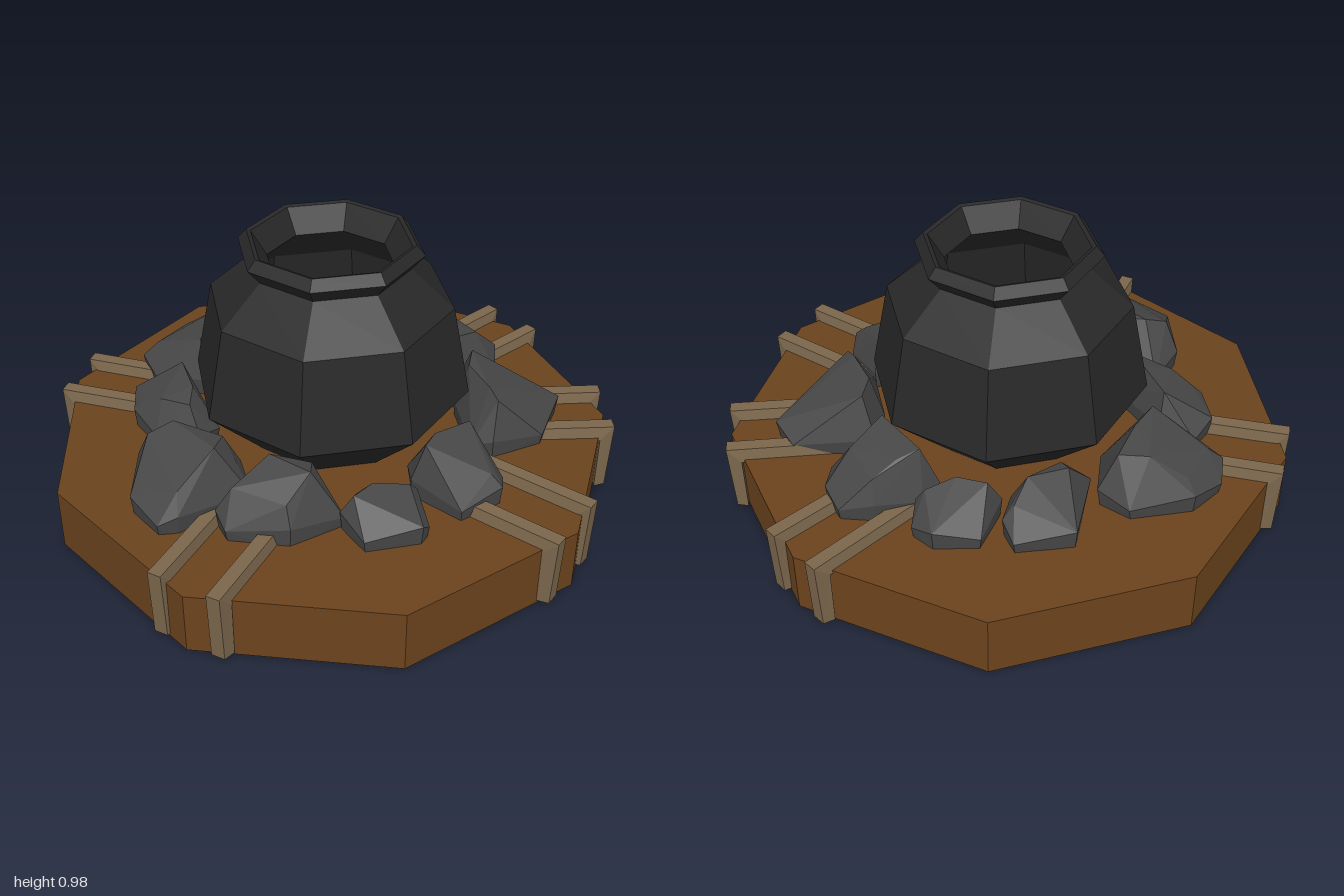
import * as THREE from 'three';
import { ConvexGeometry } from 'three/addons/geometries/ConvexGeometry.js';

const mat = (color, side = THREE.FrontSide) =>
  new THREE.MeshStandardMaterial({ color, flatShading: true, side });
const WOOD = mat(0x6b431d);
const BATTEN = mat(0x7a664c);
const STONE = mat(0x474747);
const IRON = mat(0x282828, THREE.DoubleSide);
const DECK = 0.225;

function add(parent, name, geometry, material) {
  const mesh = new THREE.Mesh(geometry, material);
  mesh.name = name;
  parent.add(mesh);
  return mesh;
}

// Bent batten: lies on the deck, then folds down over the rim; narrower on its outer face
function battenGeometry(length) {
  const t = 0.05, wIn = 0.036, wOut = 0.024, top = 0.265;
  const path = [ // [inner x, inner y, outer x, outer y]
    [0, top - t, 0, top],
    [length - t, top - t, length, top],
    [length - t, 0.01, length - 0.01, 0.01],
  ];
  const pos = [], index = [];
  for (const [ix, iy, ox, oy] of path)
    pos.push(ix, iy, -wIn, ox, oy, -wOut, ox, oy, wOut, ix, iy, wIn);
  for (let k = 0; k < path.length - 1; k++)
    for (let j = 0; j < 4; j++) {
      const a = k * 4 + j, b = k * 4 + (j + 1) % 4;
      index.push(a, b, b + 4, a, b + 4, a + 4);
    }
  index.push(0, 2, 1, 0, 3, 2, 8, 9, 10, 8, 10, 11);
  const g = new THREE.BufferGeometry();
  g.setAttribute('position', new THREE.Float32BufferAttribute(pos, 3));
  g.setIndex(index);
  const flat = g.toNonIndexed();
  flat.computeVertexNormals();
  return flat;
}

// Stone: hull of a plan outline [x, z, ...] whose top slopes down away from the pot
function stoneGeometry(height, outline) {
  const pts = [], plan = [];
  for (let i = 0; i < outline.length; i += 2) plan.push(new THREE.Vector2(outline[i], outline[i + 1]));
  const c = plan.reduce((s, p) => s.add(p), new THREE.Vector2()).divideScalar(plan.length);
  const out = c.clone().normalize();
  plan.forEach((p, i) => {
    const d = p.clone().sub(c).dot(out);
    const foot = p.clone().lerp(c, 0.06);
    const crest = p.clone().lerp(c, i % 2 ? 0.5 : 0.28);
    const y = height - Math.max(0, d + 0.04) * 0.5 - (i % 3 === 1 ? 0.02 : 0);
    pts.push(new THREE.Vector3(foot.x, DECK - 0.02, foot.y));
    pts.push(new THREE.Vector3(p.x, DECK + (i % 2 ? 0.04 : 0.07), p.y));
    pts.push(new THREE.Vector3(crest.x, y, crest.y));
  });
  return new ConvexGeometry(pts);
}

export function createModel() {
  const model = new THREE.Group();
  model.name = 'potOnStoneHearth';

  // Nine-sided wooden base
  const base = add(model, 'base', new THREE.CylinderGeometry(1, 1, DECK, 9, 1, false, Math.PI), WOOD);
  base.position.set(-0.008, DECK / 2, 0.01);

  // Eight-sided pot, outside then inside
  const profile = [
    [0, 0.22], [0.28, 0.22], [0.49, 0.43], [0.425, 0.755], [0.275, 0.89], [0.32, 0.945], [0.29, 0.98],
    [0.275, 0.975], [0.22, 0.89], [0.37, 0.74], [0.43, 0.45], [0.25, 0.27], [0, 0.27],
  ].map(([r, y]) => new THREE.Vector2(r, y));
  add(model, 'pot', new THREE.LatheGeometry(profile, 8), IRON);

  // Pairs of battens: outer x, z and inner x, z
  const battens = new THREE.Group();
  battens.name = 'battens';
  model.add(battens);
  [
    [0.97, -0.265, 0.5, -0.19], [1.0, -0.06, 0.6, -0.01],
    [0.92, 0.415, 0.6, 0.23], [0.81, 0.605, 0.48, 0.41],
    [0.44, 0.905, 0.28, 0.46], [0.23, 0.985, 0.1, 0.62],
    [-0.82, 0.605, -0.48, 0.41], [-0.92, 0.415, -0.58, 0.22],
    [-0.73, -0.69, -0.48, -0.4], [-0.56, -0.825, -0.33, -0.55],
  ].forEach(([ox, oz, ix, iz]) => {
    const m = add(battens, 'batten', battenGeometry(Math.hypot(ox - ix, oz - iz)), BATTEN);
    m.position.set(ix, 0, iz);
    m.rotation.y = Math.atan2(-(oz - iz), ox - ix);
  });

  // Ring of stones
  const stones = new THREE.Group();
  stones.name = 'stones';
  model.add(stones);
  const stone = (h, ...outline) => add(stones, 'stone', stoneGeometry(h, outline), STONE);
  stone(0.44, -0.41, -0.68, -0.34, -0.75, -0.2, -0.77, 0.0, -0.67, 0.04, -0.55, -0.1, -0.4, -0.3, -0.4, -0.42, -0.55);
  stone(0.38, 0.22, -0.67, 0.4, -0.57, 0.38, -0.48, 0.27, -0.38, 0.05, -0.4, 0.0, -0.47);
  stone(0.38, 0.32, -0.4, 0.47, -0.49, 0.6, -0.4, 0.62, -0.31, 0.55, -0.23, 0.38, -0.25);
  stone(0.44, 0.44, -0.21, 0.52, -0.23, 0.68, -0.18, 0.77, -0.1, 0.76, 0.0, 0.68, 0.1, 0.45, 0.1);
  stone(0.45, 0.5, 0.1, 0.73, 0.28, 0.73, 0.4, 0.55, 0.52, 0.35, 0.49, 0.3, 0.43, 0.4, 0.2);
  stone(0.43, -0.01, 0.5, 0.05, 0.7, 0.22, 0.7, 0.28, 0.63, 0.3, 0.43, 0.05, 0.4);
  stone(0.36, -0.3, 0.51, -0.3, 0.65, -0.12, 0.72, -0.08, 0.7, -0.02, 0.55, -0.18, 0.43);
  stone(0.44, -0.63, 0.28, -0.64, 0.36, -0.48, 0.5, -0.28, 0.51, -0.27, 0.38, -0.4, 0.2);
  stone(0.44, -0.83, 0.07, -0.81, 0.22, -0.75, 0.25, -0.47, 0.24, -0.43, 0.1, -0.55, -0.18, -0.7, -0.13);
  stone(0.41, -0.53, -0.5, -0.42, -0.53, -0.35, -0.42, -0.38, -0.14, -0.48, -0.1, -0.59, -0.22, -0.6, -0.37);
  return model;
}
